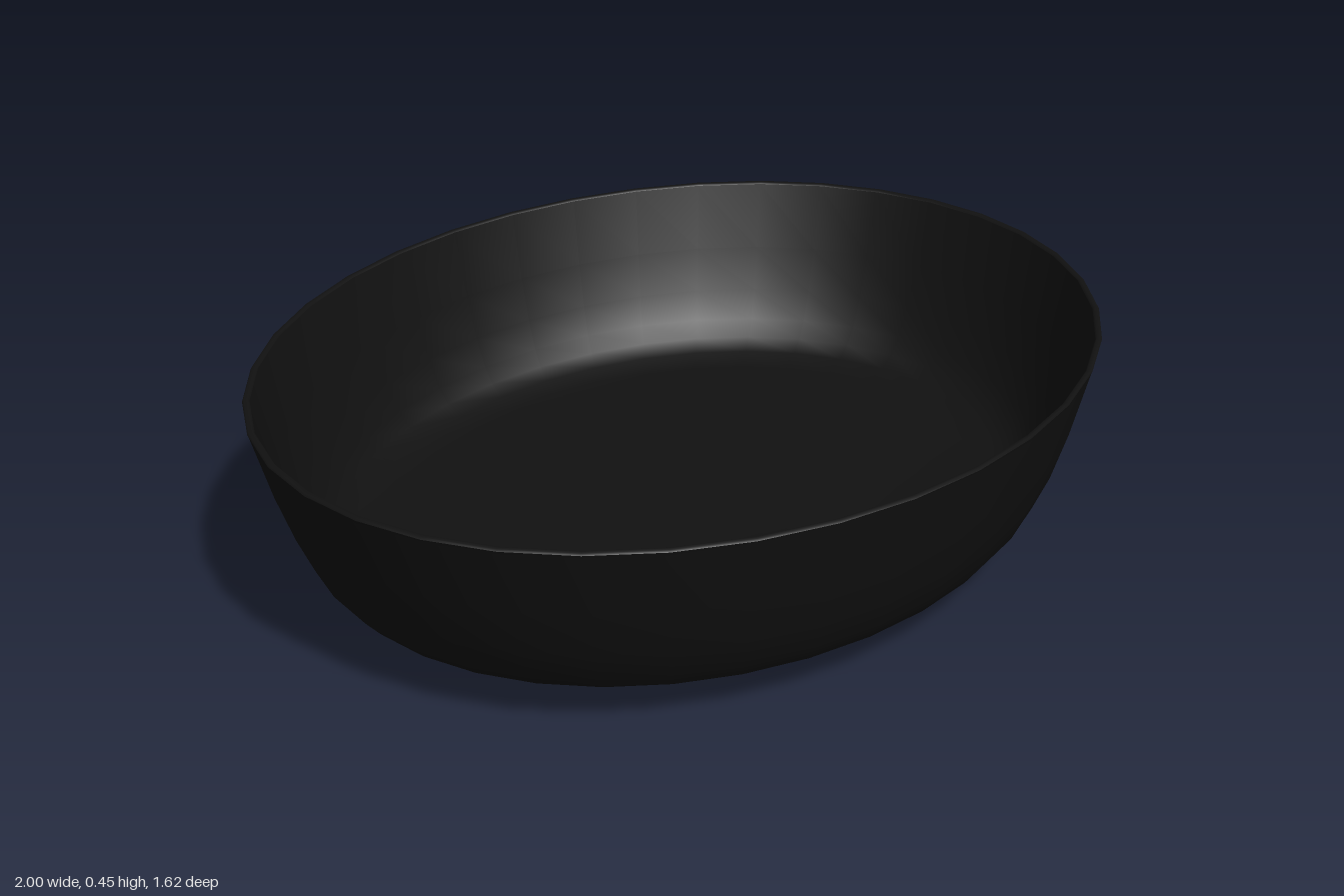
import * as THREE from 'three';

const SEGMENTS = 36;
const DEPTH = 0.81; // oval: depth relative to width

// Revolve a profile of [radius, height] pairs, then squash it into an oval
function ovalLathe(name, profile, depth, material) {
  const points = profile.map(([r, y]) => new THREE.Vector2(r, y));
  const geometry = new THREE.LatheGeometry(points, SEGMENTS);
  geometry.scale(1, 1, depth);
  const mesh = new THREE.Mesh(geometry, material);
  mesh.name = name;
  return mesh;
}

export function createModel() {
  const group = new THREE.Group();
  group.name = 'ovalBowl';
  const material = new THREE.MeshStandardMaterial({ color: 0x111111 });

  // Outer shell, from the underside up the flared wall
  group.add(ovalLathe('outerShell', [
    [0, 0.025], [0.455, 0.034], [0.73, 0.056], [0.8, 0.068], [0.845, 0.092],
    [0.88, 0.13], [0.917, 0.2], [0.955, 0.302], [0.997, 0.441], [1, 0.448],
  ], DEPTH, material));

  // Thin rounded rim
  group.add(ovalLathe('rim', [
    [1, 0.448], [0.997, 0.452], [0.988, 0.452], [0.984, 0.448],
  ], DEPTH, material));

  // Inner surface, from the rim down to the floor
  group.add(ovalLathe('innerSurface', [
    [0.984, 0.448], [0.938, 0.302], [0.9, 0.207], [0.865, 0.142],
    [0.833, 0.107], [0.793, 0.085], [0.727, 0.073], [0.455, 0.052], [0, 0.044],
  ], DEPTH, material));

  // Low foot under the bowl
  const footGeometry = new THREE.CylinderGeometry(0.457, 0.457, 0.036, SEGMENTS);
  footGeometry.scale(1, 1, 0.782);
  footGeometry.translate(0, 0.018, 0);
  const foot = new THREE.Mesh(footGeometry, material);
  foot.name = 'foot';
  group.add(foot);

  return group;
}
